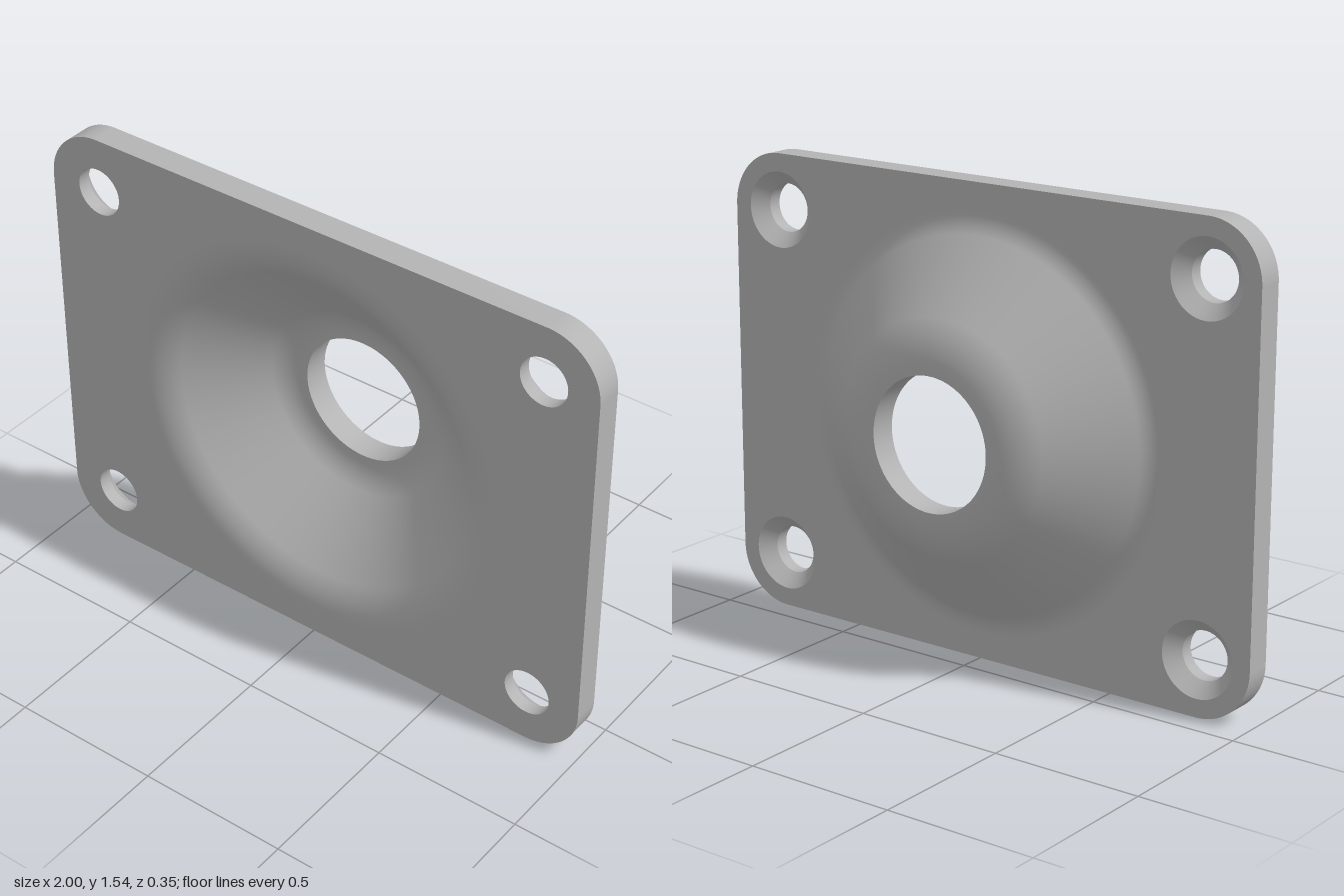
import * as THREE from 'three';
import { toCreasedNormals } from 'three/addons/utils/BufferGeometryUtils.js';

const W = 1, H = 0.77, CORNER = 0.185;            // half width, half height
const FRONT = 0.175, BACK = 0.085;                // plate faces
const BORE = 0.217, RIM = 0.68, TILT = THREE.MathUtils.degToRad(39);
const SCREW = 0.08, SINK = 0.125, SINK_Z = 0.13;
const SEGMENTS = 96;
const screwSpots = [[-0.815, -0.585], [0.815, -0.585], [-0.815, 0.585], [0.815, 0.585]];

function plateOutline() {
  const s = new THREE.Shape();
  const x = W - CORNER, y = H - CORNER, q = Math.PI / 2;
  s.absarc(x, y, CORNER, 0, q);
  s.absarc(-x, y, CORNER, q, 2 * q);
  s.absarc(-x, -y, CORNER, 2 * q, 3 * q);
  s.absarc(x, -y, CORNER, 3 * q, 4 * q);
  s.closePath();
  return s;
}

function plateFace(screwRadius) {
  const s = plateOutline();
  const cut = (x, y, r) => s.holes.push(new THREE.Path().absarc(x, y, r, 0, Math.PI * 2));
  cut(0, 0, RIM);
  screwSpots.forEach(([x, y]) => cut(x, y, screwRadius));
  return new THREE.ShapeGeometry(s, SEGMENTS / 2);
}

// Turned surface around the z axis, from [radius, z] points
function turned(points) {
  const g = new THREE.LatheGeometry(points.map(([r, z]) => new THREE.Vector2(r, z)), SEGMENTS);
  return g.rotateX(Math.PI / 2);
}

// Dish profile from bore to rim: two bends joined by a straight slope
function dishProfile(innerBend, outerBend) {
  const points = [[BORE, 0.075 - innerBend]];
  const n = 10;
  for (let i = 0; i <= n; i++) {
    const a = TILT * i / n;
    points.push([0.23 + innerBend * Math.sin(a), 0.075 - innerBend * Math.cos(a)]);
  }
  for (let i = n; i >= 0; i--) {
    const a = TILT * i / n;
    points.push([RIM - outerBend * Math.sin(a), -0.025 + outerBend * Math.cos(a)]);
  }
  return points;
}

// Only the side walls of the extruded outline
function plateEdge() {
  const g = new THREE.ExtrudeGeometry(plateOutline(), {
    depth: FRONT - BACK, bevelEnabled: false, curveSegments: SEGMENTS / 2
  });
  const side = g.groups[1];
  const wall = new THREE.BufferGeometry();
  const pos = g.attributes.position.array.slice(side.start * 3, (side.start + side.count) * 3);
  wall.setAttribute('position', new THREE.BufferAttribute(pos, 3));
  wall.translate(0, 0, BACK);
  return toCreasedNormals(wall, 0.6);
}

export function createModel() {
  const metal = new THREE.MeshStandardMaterial({ color: 0xb4b4b4 });
  metal.name = 'grey metal';
  const model = new THREE.Group();
  model.name = 'dishedMountingPlate';
  const add = (name, geometry, parent = model) => {
    const mesh = new THREE.Mesh(geometry, metal);
    mesh.name = name;
    parent.add(mesh);
    return mesh;
  };

  // Flat plate
  add('plateFront', plateFace(SCREW)).position.z = FRONT;
  const back = add('plateBack', plateFace(SINK));
  back.rotation.y = Math.PI;
  back.position.z = BACK;
  add('plateEdge', plateEdge());

  // Dish pressed towards the back, with its central bore
  add('dishBack', turned(dishProfile(0.25, 0.11)));
  add('dishFront', turned(dishProfile(0.16, 0.2).reverse()));
  add('boreWall', turned([[BORE, -0.085], [BORE, -0.175]]));

  // Screw holes, countersunk from the back
  const wall = turned([[SCREW, FRONT], [SCREW, SINK_Z]]);
  const sink = turned([[SCREW, SINK_Z], [SINK, BACK]]);
  screwSpots.forEach(([x, y]) => {
    const hole = new THREE.Group();
    hole.name = 'screwHole';
    hole.position.set(x, y, 0);
    add('screwHoleWall', wall, hole);
    add('countersink', sink, hole);
    model.add(hole);
  });

  model.position.y = H;
  return model;
}
